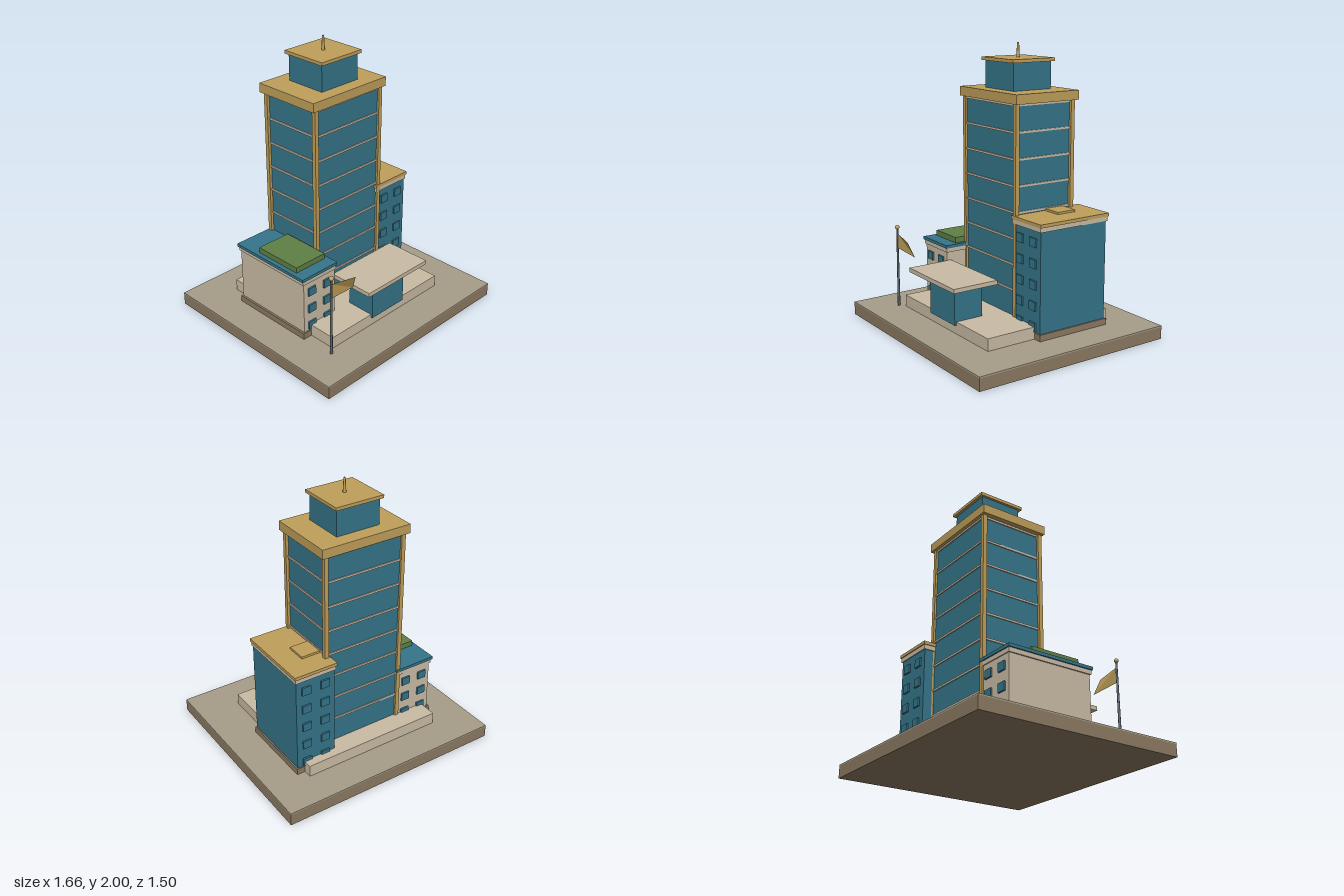
import * as THREE from 'three';

const mat = (color) => new THREE.MeshStandardMaterial({ color });

export function createModel() {
  const root = new THREE.Group();
  const gold = mat(0xbf9f5a), blue = mat(0x35758a), cream = mat(0xcabca5);
  const green = mat(0x5e7f45), paving = mat(0xa69d88), brown = mat(0x8c7a62), steel = mat(0x56626a);

  const group = (name) => {
    const g = new THREE.Group();
    g.name = name;
    root.add(g);
    return g;
  };
  // Box given by its extents on each axis
  const box = (parent, name, material, [x0, x1], [y0, y1], [z0, z1]) => {
    const m = new THREE.Mesh(new THREE.BoxGeometry(x1 - x0, y1 - y0, z1 - z0), material);
    m.position.set((x0 + x1) / 2, (y0 + y1) / 2, (z0 + z1) / 2);
    m.name = name;
    parent.add(m);
    return m;
  };
  // Windows standing slightly proud of the front and back walls
  const windows = (parent, xs, ys, zFront, zBack) => {
    for (const x of xs) for (const y of ys) for (const z of [zFront, zBack])
      box(parent, 'window', blue, [x - 0.033, x + 0.033], [y - 0.03, y + 0.03], [z - 0.012, z + 0.012]);
  };

  // Ground slab and podium
  const ground = group('ground');
  box(ground, 'baseSlab', brown, [-0.83, 0.83], [0, 0.085], [-0.75, 0.75]);
  box(ground, 'paving', paving, [-0.83, 0.83], [0.085, 0.095], [-0.75, 0.75]);
  box(ground, 'podium', cream, [-0.53, 0.53], [0.09, 0.18], [-0.51, 0.485]);

  // Main tower: glass core, floor bands, corner columns
  const tower = group('tower');
  box(tower, 'towerGlass', blue, [-0.295, 0.295], [0.18, 1.63], [-0.36, 0.1]);
  for (let i = 0; i < 8; i++) {
    const y = 0.363 + i * 0.179;
    box(tower, 'floorBand', cream, [-0.302, 0.302], [y - 0.007, y + 0.007], [-0.367, 0.107]);
  }
  for (const x of [-0.3, 0.3]) for (const z of [-0.36, 0.1])
    box(tower, 'cornerColumn', gold, [x - 0.015, x + 0.015], [0.18, 1.63], [z - 0.015, z + 0.015]);
  box(tower, 'towerRoof', gold, [-0.338, 0.338], [1.625, 1.69], [-0.39, 0.125]);

  // Penthouse and mast
  const penthouse = group('penthouse');
  box(penthouse, 'penthouseGlass', blue, [-0.165, 0.165], [1.69, 1.88], [-0.285, 0.025]);
  box(penthouse, 'penthouseRoof', gold, [-0.183, 0.183], [1.877, 1.9], [-0.305, 0.045]);
  const mast = new THREE.Mesh(new THREE.CylinderGeometry(0.007, 0.012, 0.1, 8), gold);
  mast.name = 'mast';
  mast.position.set(0, 1.95, -0.13);
  penthouse.add(mast);

  // Taller wing
  const wing = group('blueWing');
  box(wing, 'wingPlinth', brown, [0.275, 0.592], [0.09, 0.14], [-0.45, 0.115]);
  box(wing, 'wingWalls', blue, [0.285, 0.582], [0.14, 0.83], [-0.44, 0.108]);
  box(wing, 'wingCornice', cream, [0.278, 0.589], [0.83, 0.862], [-0.448, 0.115]);
  box(wing, 'wingRoof', gold, [0.272, 0.596], [0.862, 0.885], [-0.455, 0.12]);
  box(wing, 'roofHatch', gold, [0.3, 0.44], [0.885, 0.9], [-0.29, -0.143]);
  windows(wing, [0.362, 0.506], [0.175, 0.319, 0.463, 0.607, 0.751], 0.108, -0.44);

  // Lower wing with planted roof
  const annex = group('creamWing');
  box(annex, 'annexPlinth', brown, [-0.6, -0.28], [0.09, 0.14], [-0.375, 0.28]);
  box(annex, 'annexWalls', cream, [-0.585, -0.3], [0.14, 0.52], [-0.365, 0.27]);
  box(annex, 'annexCornice', cream, [-0.595, -0.29], [0.52, 0.55], [-0.372, 0.277]);
  box(annex, 'annexRoof', blue, [-0.605, -0.285], [0.55, 0.572], [-0.38, 0.283]);
  box(annex, 'roofGarden', green, [-0.573, -0.313], [0.572, 0.612], [-0.18, 0.19]);
  windows(annex, [-0.515, -0.374], [0.18, 0.314, 0.447], 0.27, -0.365);

  // Entrance lobby and canopy
  const entrance = group('entrance');
  box(entrance, 'lobby', blue, [-0.158, 0.156], [0.155, 0.432], [0.28, 0.497]);
  box(entrance, 'canopy', cream, [-0.29, 0.29], [0.432, 0.462], [0.245, 0.585]);

  // Flagpole with a twisted flag
  const pole = group('flagpole');
  const shaft = new THREE.Mesh(new THREE.CylinderGeometry(0.007, 0.01, 0.58, 10), steel);
  shaft.name = 'poleShaft';
  shaft.position.set(-0.575, 0.385, 0.517);
  const finial = new THREE.Mesh(new THREE.SphereGeometry(0.016, 12, 8), gold);
  finial.name = 'poleFinial';
  finial.position.set(-0.575, 0.682, 0.517);
  const flagGeo = new THREE.BufferGeometry();
  flagGeo.setAttribute('position', new THREE.Float32BufferAttribute([
    -0.57, 0.635, 0.517, -0.57, 0.528, 0.517, -0.355, 0.505, 0.5, -0.38, 0.617, 0.545], 3));
  flagGeo.setIndex([0, 1, 2, 0, 2, 3]);
  const flatFlag = flagGeo.toNonIndexed();
  flatFlag.computeVertexNormals();
  const flagMat = mat(0xbf9f5a);
  flagMat.side = THREE.DoubleSide;
  const flag = new THREE.Mesh(flatFlag, flagMat);
  flag.name = 'flag';
  pole.add(shaft, finial, flag);

  return root;
}
